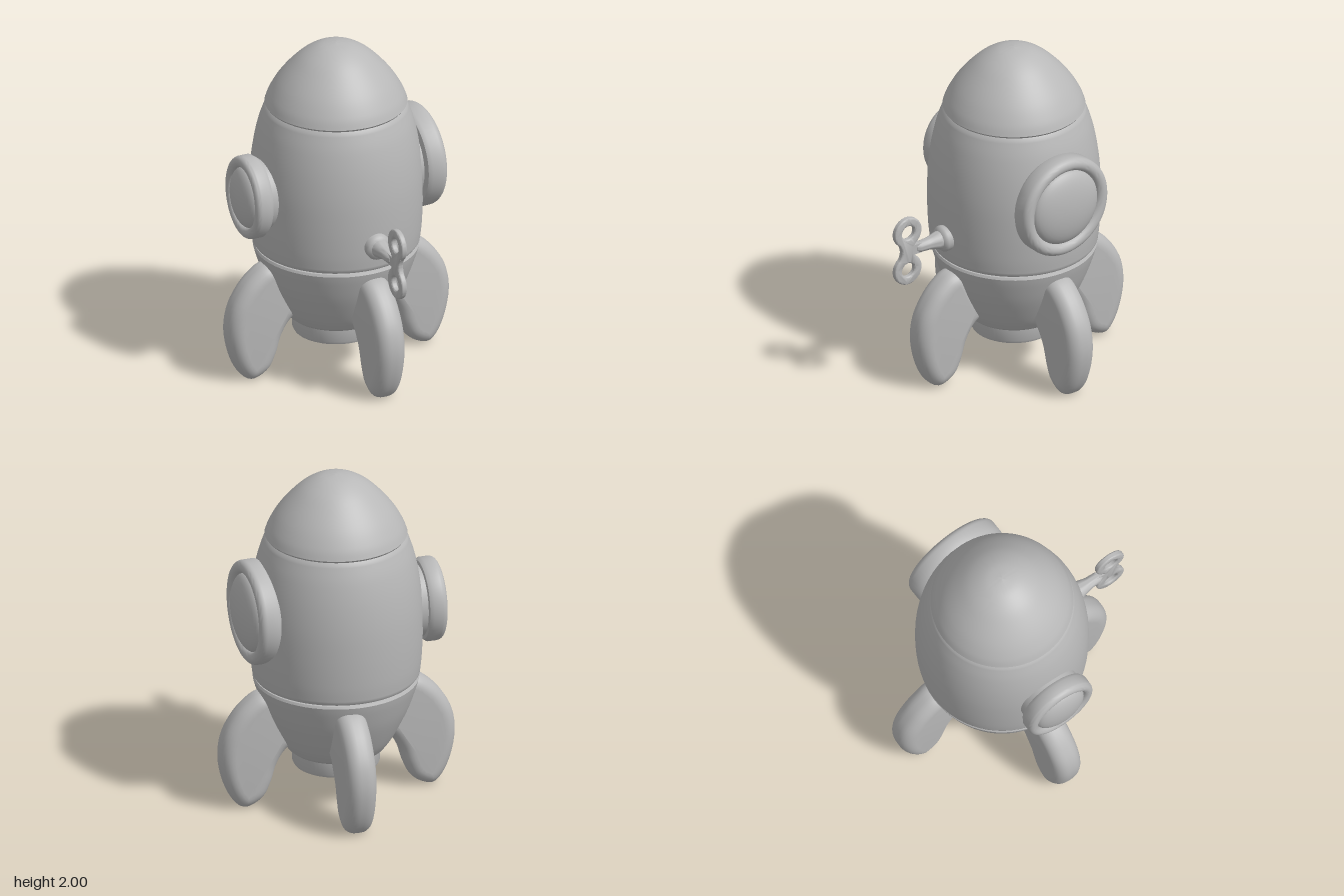
import * as THREE from 'three';
import { mergeVertices, toCreasedNormals } from 'three/addons/utils/BufferGeometryUtils.js';

const AXIS_Z = -0.083; // the hull's axis sits slightly behind the centre

const vec = (list) => list.map(([x, y]) => new THREE.Vector2(x, y));
const smooth = (list, n) => new THREE.SplineCurve(vec(list)).getPoints(n);

function part(name, geometry, material, parent) {
  const mesh = new THREE.Mesh(geometry, material);
  mesh.name = name;
  parent.add(mesh);
  return mesh;
}

// Turned part; the profile runs from bottom to top as (radius, height)
const turned = (points, segments = 64) =>
  toCreasedNormals(new THREE.LatheGeometry(points, segments), 0.7);

// Rounded slab in the xy plane, centred on z = 0, that keeps the outline's size
function slab(shape, thickness, bevel, steps) {
  const geo = new THREE.ExtrudeGeometry(shape, {
    depth: thickness - 2 * bevel, bevelThickness: bevel, bevelSize: bevel,
    bevelOffset: -bevel, bevelSegments: steps, curveSegments: 24,
  });
  geo.translate(0, 0, bevel - thickness / 2);
  geo.deleteAttribute('uv');
  geo.deleteAttribute('normal');
  return toCreasedNormals(mergeVertices(geo, 1e-4), 0.8);
}

// Porthole pointing along +y: rounded frame with a domed pane
function porthole(name, outer, inner, height, dome, neck, material) {
  const group = new THREE.Group();
  group.name = name;
  const b = (outer - inner) / 2;
  const frame = [[outer - 0.05, 0], [outer - 0.015, 0.008], [outer, 0.03], [outer, height - b]];
  for (let i = 1; i <= 12; i++) {
    const a = (i / 12) * Math.PI;
    frame.push([outer - b + b * Math.cos(a), height - b + b * Math.sin(a)]);
  }
  frame.push([inner, height - b - 0.02]);
  part('portholeFrame', turned(vec(frame)), material, group);
  const pane = [];
  for (let i = 0; i <= 10; i++) {
    const a = (i / 10) * Math.PI / 2;
    pane.push([(inner + 0.004) * Math.cos(a), height - 0.035 + (dome + 0.035) * Math.sin(a)]);
  }
  pane[10][0] = 0;
  part('portholePane', turned(vec(pane)), material, group);
  part('portholeNeck', new THREE.CylinderGeometry(neck, neck, 0.16, 48), material, group)
    .position.y = -0.06;
  return group;
}

export function createModel() {
  const model = new THREE.Group();
  model.name = 'toyRocket';
  const grey = new THREE.MeshStandardMaterial({ color: 0xb8b8b8 });
  grey.name = 'plainGrey';

  const hull = new THREE.Group();
  hull.name = 'hull';
  hull.position.z = AXIS_Z;
  model.add(hull);

  // Nose, middle and tapered tail, with rolled-in edges that leave grooves
  const nose = smooth([[0.407, 1.632], [0.385, 1.69], [0.335, 1.775], [0.265, 1.86],
    [0.185, 1.934], [0.095, 1.983], [0, 2]], 32);
  part('nose', turned([...vec([[0.36, 1.615], [0.398, 1.62]]), ...nose]), grey, hull);

  const middle = smooth([[0.478, 0.775], [0.488, 0.87], [0.494, 1.03], [0.491, 1.2],
    [0.474, 1.36], [0.445, 1.5], [0.41, 1.605]], 32);
  part('middle', turned([...vec([[0.44, 0.755], [0.468, 0.76]]), ...middle,
    ...vec([[0.398, 1.62], [0.36, 1.622]])]), grey, hull);

  const tail = smooth([[0.283, 0.315], [0.325, 0.375], [0.375, 0.47], [0.42, 0.57],
    [0.458, 0.68], [0.474, 0.738]], 24);
  part('tail', turned([...vec([[0, 0.3], [0.265, 0.3]]), ...tail,
    ...vec([[0.467, 0.752], [0.44, 0.757]])]), grey, hull);

  // Hollow nozzle with a ball inside
  part('nozzle', turned(vec([[0.17, 0.305], [0.19, 0.25], [0.2, 0.22], [0.21, 0.204],
    [0.226, 0.199], [0.242, 0.205], [0.25, 0.222], [0.25, 0.31]])), grey, hull);
  part('nozzleBall', new THREE.SphereGeometry(0.13, 32, 20), grey, hull).position.y = 0.33;

  // Four curved fins
  const finOutline = smooth([[0.24, 0.37], [0.31, 0.335], [0.365, 0.25], [0.4, 0.14],
    [0.45, 0.05], [0.55, 0.002], [0.62, 0.05], [0.675, 0.17], [0.7, 0.32], [0.678, 0.46],
    [0.61, 0.58], [0.53, 0.66], [0.46, 0.697], [0.39, 0.685], [0.32, 0.56]], 60);
  const finGeo = slab(new THREE.Shape(finOutline), 0.18, 0.075, 7);
  [['leftFin', 0, 0, 0], ['backFin', 1, 0.05, 0], ['rightFin', 2, 0, 0],
    ['frontFin', 3, 0.02, 0.012]].forEach(([name, turn, x, z]) => {
    const fin = part(name, finGeo, grey, hull);
    fin.rotation.y = turn * Math.PI / 2;
    fin.position.set(x, 0, z);
  });

  // Large porthole on the left, small one on the right
  const large = porthole('leftPorthole', 0.303, 0.225, 0.135, 0.043, 0.25, grey);
  large.rotation.set(0, 0.05, -Math.PI / 2, 'YXZ');
  large.position.set(0.415, 1.195, -0.065);
  model.add(large);

  const small = porthole('rightPorthole', 0.233, 0.168, 0.115, 0.033, 0.2, grey);
  small.rotation.z = Math.PI / 2;
  small.scale.set(1.06, 1, 0.94);
  small.position.set(-0.49, 1.14, -0.083);
  model.add(small);

  // Wind-up key on the front
  const key = new THREE.Group();
  key.name = 'windUpKey';
  key.position.set(0.015, 0.92, 0);
  model.add(key);

  const shaft = part('keyShaft', turned(vec([[0.075, 0.36], [0.077, 0.43], [0.066, 0.445],
    [0.053, 0.452], [0.05, 0.47], [0.042, 0.5], [0.036, 0.53], [0.033, 0.59],
    [0.022, 0.612], [0, 0.617]]), 32), grey, key);
  shaft.rotation.x = Math.PI / 2;

  // Figure-eight grip, drawn as (z, y) around its waist
  const grip = new THREE.Shape();
  grip.absarc(0.672, 0.12, 0.093, -0.9, Math.PI + 0.9, false);
  grip.quadraticCurveTo(0.655, 0, 0.614, -0.192 + 0.145);
  grip.absarc(0.672, -0.12, 0.093, Math.PI - 0.9, Math.PI * 2 + 0.9, false);
  grip.quadraticCurveTo(0.7, 0, 0.73, 0.047);
  for (const side of [1, -1]) {
    const hole = new THREE.Path();
    hole.absarc(0.672, side * 0.12, 0.043, 0, Math.PI * 2, true);
    grip.holes.push(hole);
  }
  const gripMesh = part('keyGrip', slab(grip, 0.036, 0.01, 3), grey, key);
  gripMesh.rotation.y = -Math.PI / 2;

  // Web joining the grip to the shaft
  part('keyWeb', new THREE.BoxGeometry(0.036, 0.06, 0.09), grey, key).position.z = 0.625;

  return model;
}
